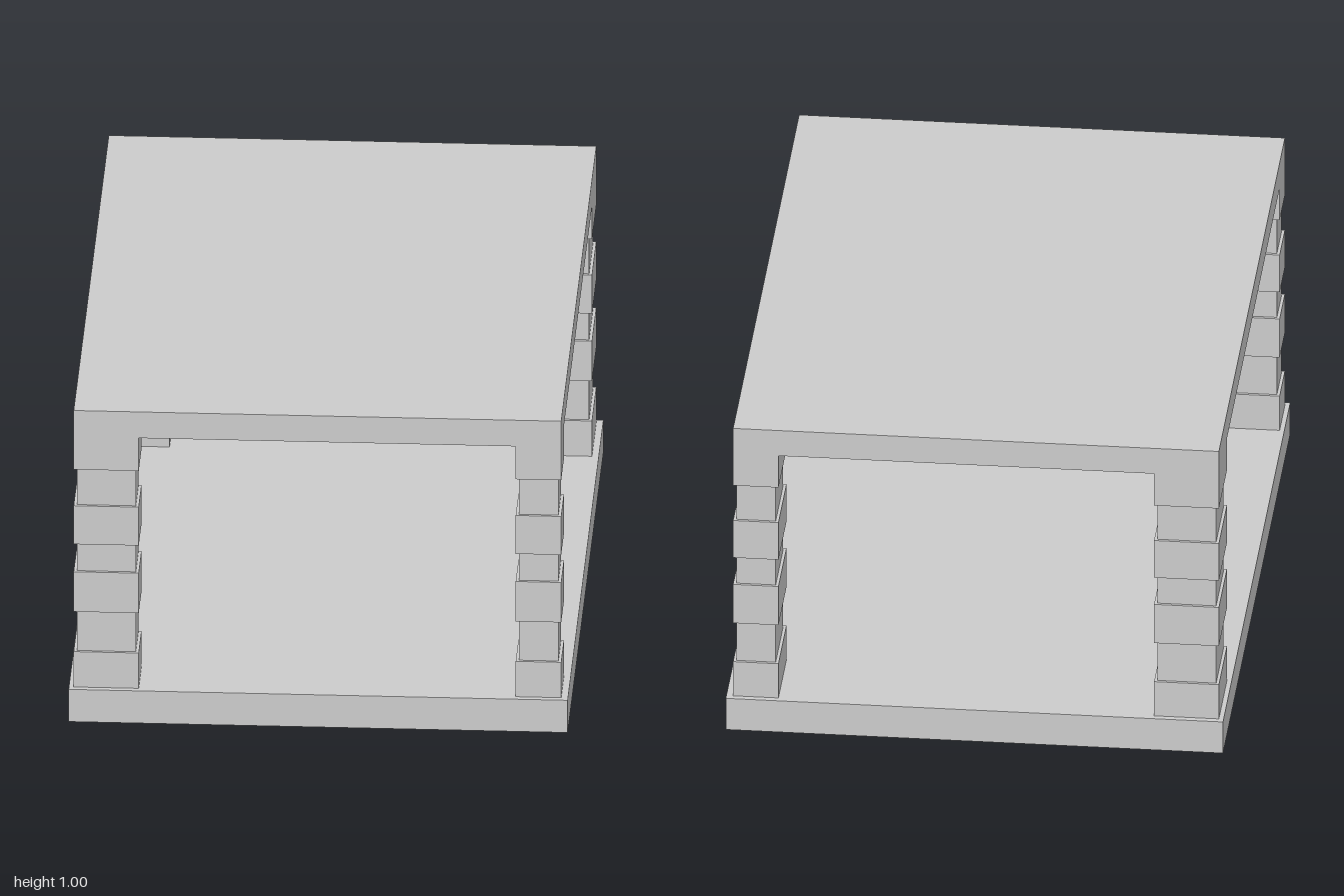
import * as THREE from 'three';

const material = new THREE.MeshStandardMaterial({ color: 0xcccccc, flatShading: true });

// Box given by its extents along each axis
function block(name, [x0, x1], [y0, y1], [z0, z1]) {
  const mesh = new THREE.Mesh(new THREE.BoxGeometry(x1 - x0, y1 - y0, z1 - z0), material);
  mesh.name = name;
  mesh.position.set((x0 + x1) / 2, (y0 + y1) / 2, (z0 + z1) / 2);
  return mesh;
}

const inset = ([a, b], d) => [a + d, b - d];

// Heights where the pillar switches between wide bands and narrow necks
const LEVELS = [0.105, 0.22, 0.35, 0.48, 0.57, 0.695, 0.813, 0.92];

// Pillar of alternating wide bands and slightly narrower necks
function pillar(name, xs, zs) {
  const group = new THREE.Group();
  group.name = name;
  for (let i = 0; i < LEVELS.length - 1; i++) {
    const neck = i % 2 === 1;
    const d = neck ? 0.009 : 0;
    group.add(block(neck ? 'neck' : 'band', inset(xs, d), [LEVELS[i], LEVELS[i + 1]], inset(zs, d)));
  }
  return group;
}

export function createModel() {
  const model = new THREE.Group();
  model.name = 'pillaredTable';

  // Base and top slabs
  model.add(block('baseSlab', [-0.74, 0.74], [0, 0.105], [-1, 1]));
  model.add(block('topSlab', [-0.726, 0.72], [0.92, 1.005], [-0.982, 0.982]));

  // Corner pillars: thicker on the right and at the back
  const sides = { Left: [0.585, 0.72], Right: [-0.726, -0.533] };
  const ends = { front: [0.825, 0.982], back: [-0.982, -0.741] };
  for (const [end, zs] of Object.entries(ends)) {
    for (const [side, xs] of Object.entries(sides)) {
      model.add(pillar(`${end}${side}Pillar`, xs, zs));
    }
  }
  return model;
}
